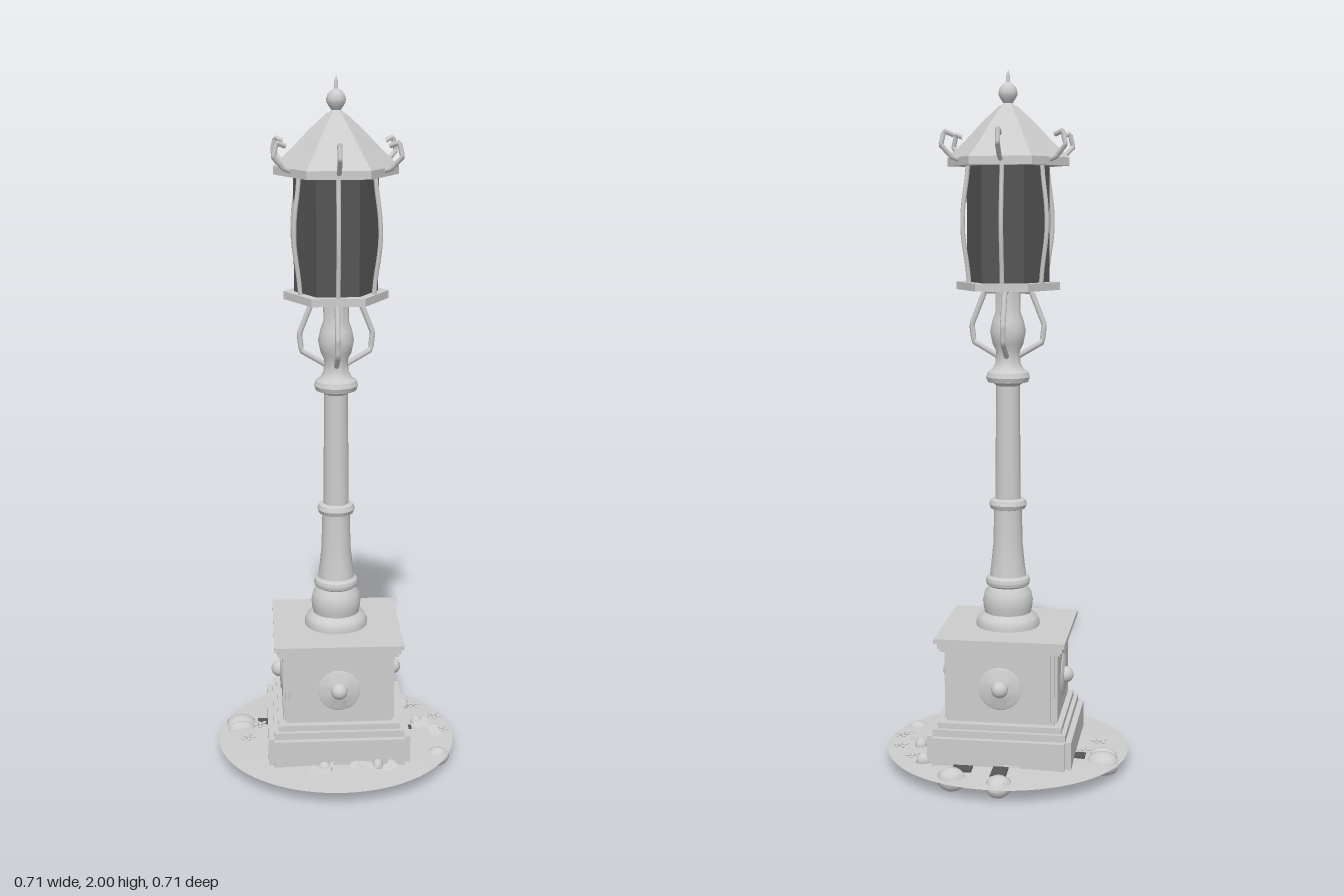
import * as THREE from 'three';
import { toCreasedNormals } from 'three/addons/utils/BufferGeometryUtils.js';

export function createModel() {
  const model = new THREE.Group();
  model.name = 'gardenLampPost';
  const mat = (name, color, side = THREE.FrontSide) => {
    const m = new THREE.MeshStandardMaterial({ color, side });
    m.name = name;
    return m;
  };
  const stone = mat('pale stone', 0xcccccc);
  const leafMat = mat('pale leaf', 0xcccccc, THREE.DoubleSide);
  const glassMat = mat('dark glass', 0x555555);

  const add = (name, geo, material, x = 0, y = 0, z = 0, parent = model) => {
    const m = new THREE.Mesh(geo, material);
    m.name = name;
    m.position.set(x, y, z);
    parent.add(m);
    return m;
  };
  const box = (name, w, y0, y1, d = w) =>
    add(name, new THREE.BoxGeometry(w, y1 - y0, d), stone, 0, (y0 + y1) / 2, 0);
  const lathe = (pts, segs = 32, start = 0) => toCreasedNormals(
    new THREE.LatheGeometry(pts.map(p => new THREE.Vector2(p[0], p[1])), segs, start), 0.6);
  const hex = (r0, r1, h) => toCreasedNormals(
    new THREE.CylinderGeometry(r1, r0, h, 6, 1, false, Math.PI / 2), 0.3);

  // Repeats a bent rod around the post; points are [radius, height]
  const rods = (name, count, offset, pts, r, smooth = false) => {
    const path = smooth
      ? new THREE.CatmullRomCurve3(pts.map(p => new THREE.Vector3(p[0], p[1], 0)))
      : new THREE.CurvePath();
    if (!smooth) {
      for (let i = 1; i < pts.length; i++) {
        path.add(new THREE.LineCurve3(
          new THREE.Vector3(...pts[i - 1], 0), new THREE.Vector3(...pts[i], 0)));
      }
    }
    const geo = new THREE.TubeGeometry(path, 24, r, 7, false);
    for (let i = 0; i < count; i++) {
      add(name, geo, stone).rotation.y = offset + i * Math.PI * 2 / count;
    }
  };

  // Ground disc, slightly domed
  add('ground', lathe([[0, 0.034], [0.33, 0.035], [0.355, 0.04], [0.2, 0.05], [0, 0.054]], 64), stone);

  // Pedestal
  box('plinthWide', 0.414, 0.045, 0.125, 0.38);
  box('plinthDeep', 0.38, 0.045, 0.125, 0.414);
  box('baseMoulding', 0.38, 0.125, 0.145);
  box('baseMouldingUpper', 0.355, 0.145, 0.162);
  box('pedestalCore', 0.31, 0.16, 0.38);
  box('pedestalPanelsFront', 0.29, 0.165, 0.368, 0.325);
  box('pedestalPanelsSide', 0.325, 0.165, 0.368, 0.29);
  box('capLower', 0.345, 0.37, 0.38);
  box('capMiddle', 0.357, 0.38, 0.398);
  box('capTop', 0.374, 0.396, 0.41);

  // Round medallion with a bead on each pedestal face
  const disc = lathe([[0.062, 0], [0.062, 0.004], [0.055, 0.008], [0.025, 0.008], [0.018, 0.012], [0, 0.012]]);
  disc.rotateX(Math.PI / 2);
  const bead = new THREE.SphereGeometry(0.024, 20, 14);
  for (let i = 0; i < 4; i++) {
    const g = new THREE.Group();
    g.name = 'medallion';
    g.rotation.y = i * Math.PI / 2;
    add('medallionDisc', disc, stone, 0, 0.265, 0.16, g);
    add('medallionBead', bead, stone, 0, 0.265, 0.17, g);
    model.add(g);
  }

  // Turned column
  add('column', lathe([
    [0.092, 0.408], [0.092, 0.425], [0.086, 0.438], [0.068, 0.45],
    [0.071, 0.465], [0.073, 0.485], [0.068, 0.51], [0.055, 0.528],
    [0.062, 0.533], [0.065, 0.543], [0.062, 0.553], [0.053, 0.56],
    [0.048, 0.6], [0.043, 0.65], [0.04, 0.755],
    [0.05, 0.758], [0.055, 0.77], [0.05, 0.783], [0.037, 0.787],
    [0.034, 1.115], [0.042, 1.122], [0.058, 1.126], [0.063, 1.14], [0.058, 1.154],
    [0.045, 1.163], [0.036, 1.18], [0.034, 1.215],
    [0.044, 1.235], [0.051, 1.27], [0.045, 1.3], [0.036, 1.325], [0.036, 1.395],
  ]), stone);

  // Angular brackets holding the lantern
  rods('bracket', 4, 0, [[0.03, 1.2], [0.098, 1.24], [0.104, 1.29], [0.066, 1.385], [0.03, 1.385]], 0.008);

  // Lantern body
  add('lanternFloor', hex(0.148, 0.148, 0.022), stone, 0, 1.4, 0);
  add('lanternGlass', hex(0.118, 0.118, 0.34), glassMat, 0, 1.575, 0);
  rods('lanternBar', 6, Math.PI / 6,
    [[0.118, 1.41], [0.122, 1.45], [0.136, 1.55], [0.135, 1.62], [0.124, 1.7], [0.12, 1.74]], 0.0065, true);

  // Roof, eave hooks and finial
  add('roof', lathe([[0, 1.735], [0.173, 1.735], [0.173, 1.758], [0.125, 1.803],
    [0.075, 1.855], [0.026, 1.9], [0, 1.904]], 6, Math.PI / 2), stone);
  rods('roofHook', 6, Math.PI / 6,
    [[0.145, 1.75], [0.168, 1.758], [0.2, 1.79], [0.19, 1.828], [0.163, 1.818]], 0.007);
  add('finial', lathe([
    [0.026, 1.895], [0.013, 1.908], [0.018, 1.915], [0.026, 1.928], [0.027, 1.937],
    [0.023, 1.951], [0.014, 1.96], [0.006, 1.965], [0.005, 1.985], [0, 2],
  ], 20), stone);

  // Rocks: x, z, radius, lengthening in z
  const rocks = [
    [-0.018, -0.303, 0.038, 1.05], [0.12, -0.272, 0.044, 0.9], [-0.288, -0.09, 0.053, 0.85],
    [-0.285, -0.052, 0.045, 0.6], [0.297, 0.128, 0.031, 1], [0.219, -0.177, 0.021, 1.1],
    [0.25, -0.058, 0.018, 1], [-0.046, 0.228, 0.022, 0.9], [0.11, 0.215, 0.018, 1],
  ];
  rocks.forEach(([x, z, r, s], k) => {
    const geo = new THREE.SphereGeometry(1, 12, 8);
    const p = geo.attributes.position;
    for (let i = 0; i < p.count; i++) {
      const a = p.getX(i), b = p.getY(i), c = p.getZ(i);
      const f = 1 + 0.07 * Math.sin(3 * a + k) + 0.06 * Math.sin(4 * c + 2 * k + b);
      p.setXYZ(i, a * f, b, c * f);
    }
    geo.computeVertexNormals();
    const h = Math.min(0.033, 0.012 + r * 0.5);
    add('rock', geo, stone, x, r > 0.03 ? h : 0.048, z).scale.set(r, h, r * s);
  });

  // Dark patches of soil between rocks and plinth
  for (const [x, z, w, d] of [[-0.01, -0.24, 0.044, 0.07], [0.098, -0.23, 0.056, 0.04],
    [-0.222, -0.08, 0.03, 0.04], [0.22, -0.02, 0.025, 0.02]]) {
    add('soilPatch', new THREE.BoxGeometry(w, 0.006, d), glassMat, x, 0.049, z);
  }

  // Five-petalled flowers
  const petal = new THREE.SphereGeometry(1, 8, 6);
  for (const [x, z] of [[0.253, -0.16], [0.308, -0.084], [0.322, 0.004], [-0.229, -0.051], [-0.268, 0.03]]) {
    const flower = new THREE.Group();
    flower.name = 'flower';
    flower.position.set(x, 0.056, z);
    for (let i = 0; i < 5; i++) {
      const a = i * Math.PI * 0.4 + x * 9;
      const m = add('petal', petal, stone, 0.015 * Math.cos(a), 0, 0.015 * Math.sin(a), flower);
      m.scale.set(0.009, 0.003, 0.006);
      m.rotation.y = -a;
    }
    add('flowerCentre', petal, stone, 0, 0.001, 0, flower).scale.set(0.007, 0.005, 0.007);
    model.add(flower);
  }

  // Fallen angular leaves: x, z, size, turn
  const leafShape = new THREE.Shape([[-1, 0.1], [-0.4, 0.6], [0, 0.35], [1, 0.5], [0.55, -0.2],
    [0.3, -0.8], [-0.2, -0.45], [-0.7, -0.6]].map(p => new THREE.Vector2(...p)));
  const leaf = new THREE.ShapeGeometry(leafShape);
  leaf.rotateX(-Math.PI / 2);
  for (const [x, z, s, a] of [[-0.055, 0.245, 0.045, 0.2], [0.08, 0.212, 0.045, 2.8], [0.145, 0.23, 0.032, 1],
    [0.295, 0.015, 0.034, 2], [0.265, -0.035, 0.034, 0.6], [-0.035, -0.215, 0.03, 0], [0.04, 0.215, 0.02, 1.5]]) {
    const m = add('leaf', leaf, leafMat, x, 0.057, z);
    m.scale.setScalar(s);
    m.rotation.set(0.12, a, 0.1);
  }
  return model;
}
